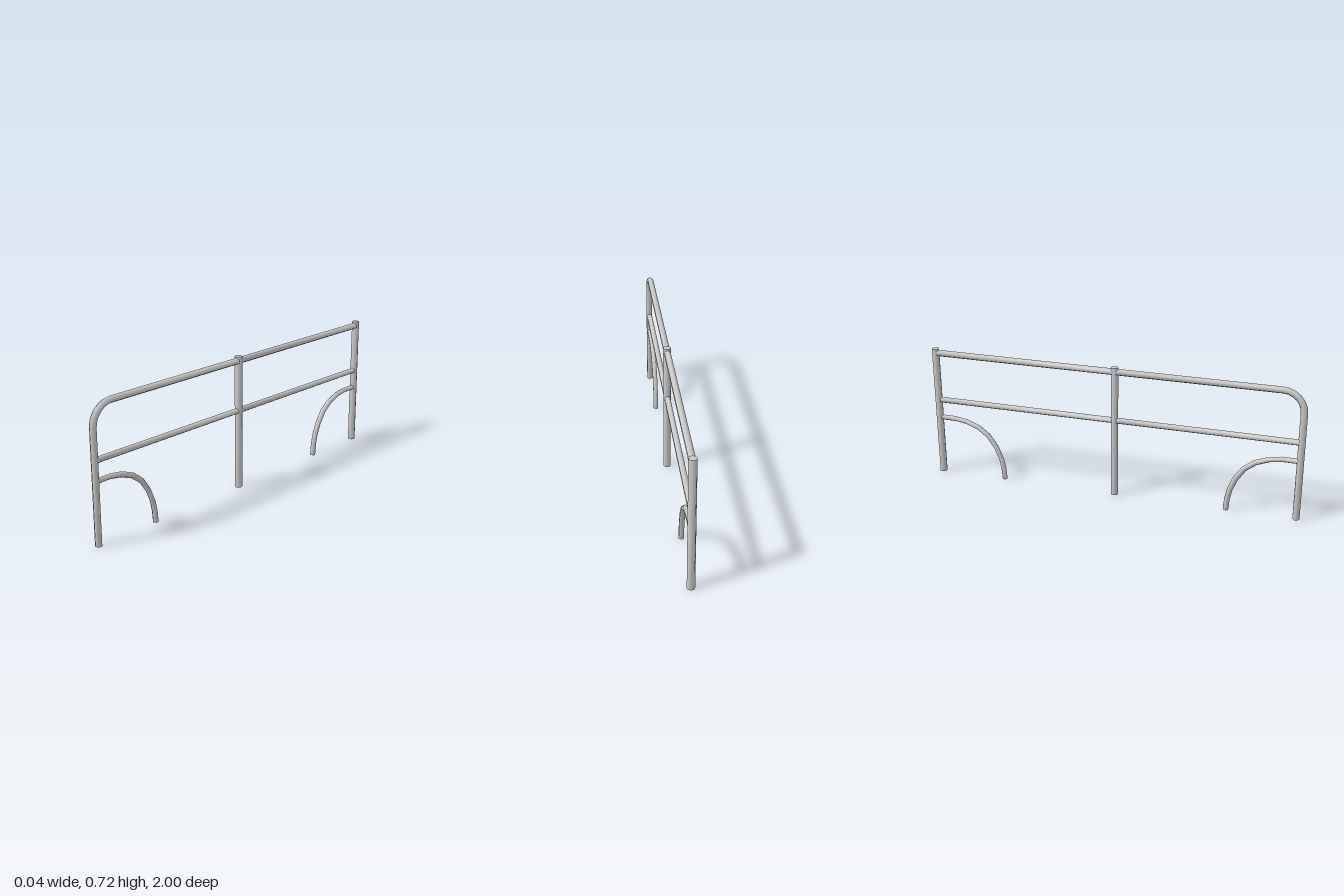
import * as THREE from 'three';
import { toCreasedNormals } from 'three/addons/utils/BufferGeometryUtils.js';

const material = new THREE.MeshStandardMaterial({ color: 0xcccccc });

// Capped pipe swept through [z, y] points lying in the x = 0 plane
function pipe(name, points, radius, sides) {
  const pos = [], index = [], last = points.length - 1;
  points.forEach(([z, y], i) => {
    const a = points[Math.max(i - 1, 0)], b = points[Math.min(i + 1, last)];
    const len = Math.hypot(b[0] - a[0], b[1] - a[1]);
    const tz = (b[0] - a[0]) / len, ty = (b[1] - a[1]) / len;
    for (let k = 0; k < sides; k++) {
      const ang = (k / sides) * Math.PI * 2;
      const c = radius * Math.cos(ang);
      pos.push(radius * Math.sin(ang), y + c * tz, z - c * ty);
    }
  });
  for (let i = 0; i < last; i++) {
    for (let k = 0; k < sides; k++) {
      const a = i * sides + k, b = i * sides + (k + 1) % sides;
      index.push(a, a + sides, b, b, a + sides, b + sides);
    }
  }
  // end caps
  const e = last * sides;
  for (let k = 1; k < sides - 1; k++) index.push(0, k, k + 1, e, e + k + 1, e + k);

  const geometry = new THREE.BufferGeometry();
  geometry.setAttribute('position', new THREE.Float32BufferAttribute(pos, 3));
  geometry.setIndex(index);
  const mesh = new THREE.Mesh(toCreasedNormals(geometry, 1.15), material);
  mesh.name = name;
  return mesh;
}

export function createModel() {
  const group = new THREE.Group();
  group.name = 'railing';
  const frontZ = 0.982, midZ = 0.017, backZ = -0.98;
  const topY = 0.692, midY = 0.425, height = 0.716;

  // Straight posts
  group.add(pipe('middlePost', [[midZ, 0], [midZ, height]], 0.0195, 8));
  group.add(pipe('backPost', [[backZ, 0], [backZ, height]], 0.02, 8));

  // Front post bending over into the top rail
  const bend = 0.11, frame = [[frontZ, 0]];
  for (let i = 0; i <= 6; i++) {
    const a = (i / 6) * Math.PI / 2;
    frame.push([frontZ - bend + bend * Math.cos(a), topY - bend + bend * Math.sin(a)]);
  }
  frame.push([midZ, topY]);
  group.add(pipe('frontPostAndTopRail', frame, 0.018, 6));
  group.add(pipe('backTopRail', [[midZ, topY], [backZ, topY]], 0.018, 6));

  // Middle rails
  group.add(pipe('frontMiddleRail', [[frontZ, midY], [midZ, midY]], 0.0165, 6));
  group.add(pipe('backMiddleRail', [[midZ, midY], [backZ, midY]], 0.0165, 6));

  // Curved braces: distance from the end post, height
  const arc = [[0, 0.323], [0.09, 0.323], [0.155, 0.313], [0.225, 0.286],
    [0.28, 0.243], [0.322, 0.18], [0.348, 0.115], [0.359, 0.06], [0.364, 0]];
  group.add(pipe('frontBrace', arc.map(([d, y]) => [frontZ - d, y]), 0.0145, 6));
  group.add(pipe('backBrace', arc.map(([d, y]) => [backZ + d * 1.013, y]), 0.0145, 6));

  return group;
}
